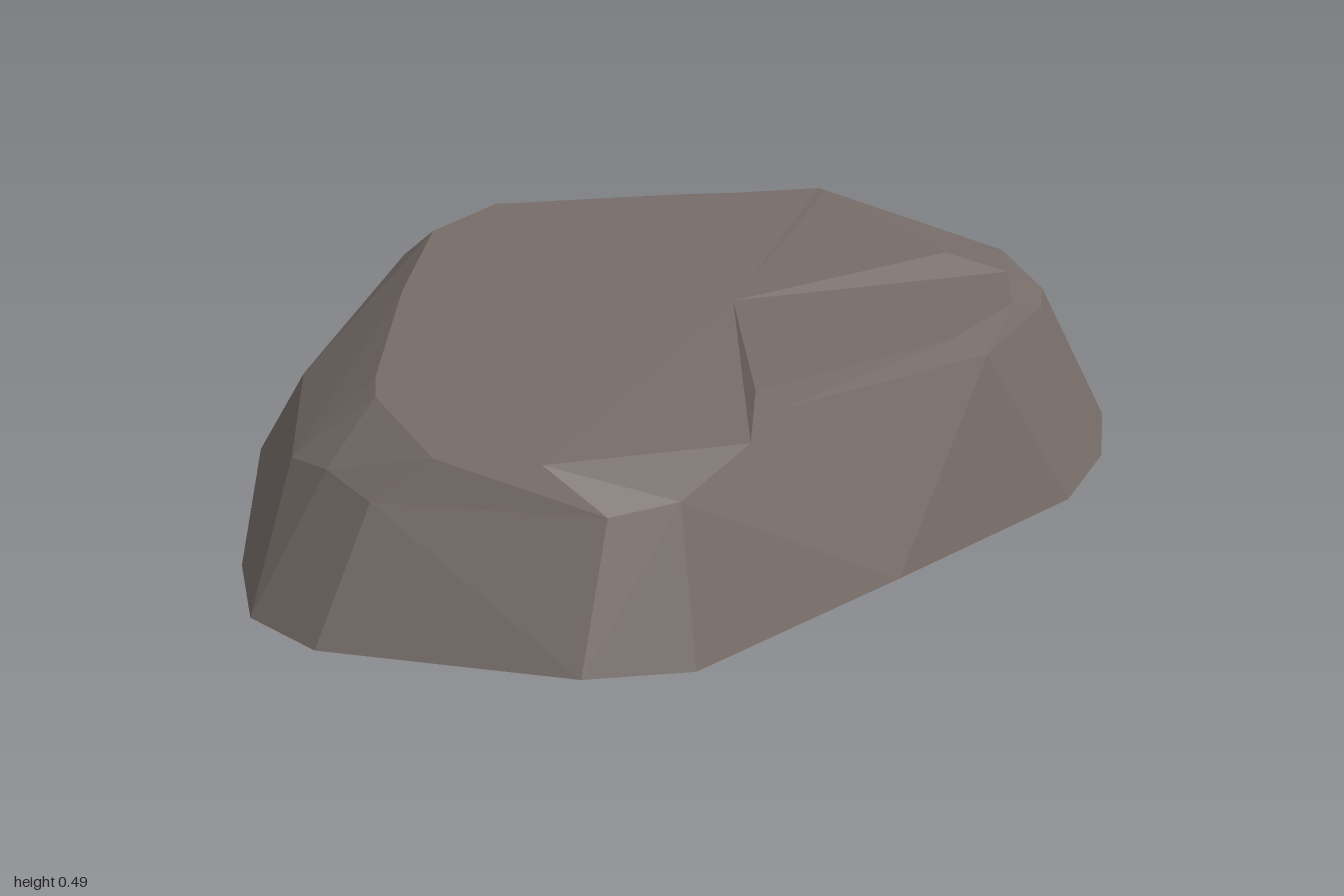
import * as THREE from 'three';

// Matching outlines, clockwise from the back as seen from above: [x, y, z]
const foot = [
  [.04, .09, -1], [.21, .065, -.97], [.33, .055, -.9], [.79, .03, -.62], [.91, .005, -.51], [.91, 0, -.28],
  [.84, 0, -.03], [.515, .015, .435], [.19, .035, .9], [0, .055, 1], [-.5, .06, 1], [-.67, .05, .89],
  [-.76, .06, .71], [-.92, .075, .21], [-.83, .08, -.28], [-.77, .08, -.53], [-.62, .08, -.76], [-.22, .085, -.99],
];
const shoulder = [
  [0, .39, -.85], [.2, .415, -.77], [.25, .45, -.7], [.65, .4, -.51], [.75, .365, -.36], [.75, .36, -.25],
  [.65, .365, .07], [.28, .385, .48], [.14, .32, .79], [.02, .31, .86], [-.42, .31, .88], [-.54, .32, .78],
  [-.65, .29, .68], [-.81, .26, .2], [-.72, .39, -.24], [-.69, .37, -.5], [-.59, .41, -.58], [-.16, .39, -.83],
];
const rim = [
  [0, .482, -.57], [.2, .485, -.64], [.22, .485, -.62], [.53, .45, -.32], [.67, .41, -.33], [.69, .4, -.15],
  [.57, .39, .07], [.22, .4, .44], [.24, .37, .62], [-.11, .385, .82], [-.31, .39, .84], [-.49, .41, .63],
  [-.52, .415, .54], [-.6, .44, .13], [-.63, .47, -.19], [-.54, .475, -.4], [-.5, .476, -.41], [-.3, .48, -.475],
];

const toPoints = (ring) => ring.map((p) => new THREE.Vector3(...p));

// Band of facets between two outlines, each quad split so that it bulges outward
function band(lower, upper) {
  const out = [];
  lower.forEach((b, i) => {
    const j = (i + 1) % lower.length;
    const a = lower[j], c = upper[i], d = upper[j];
    const normal = b.clone().sub(a).cross(c.clone().sub(a));
    if (d.clone().sub(a).dot(normal) <= 0) out.push(a, b, c, a, c, d);
    else out.push(a, b, d, b, c, d);
  });
  return out;
}

// Fan from an outline to one centre point
function cap(ring, hub, down) {
  return ring.flatMap((p, i) => {
    const q = ring[(i + 1) % ring.length];
    return down ? [p, q, hub] : [q, p, hub];
  });
}

export function createModel() {
  const group = new THREE.Group();
  group.name = 'flatRock';
  const stone = new THREE.MeshStandardMaterial({ color: 0x756b67, flatShading: true });
  stone.name = 'warmGreyStone';

  const add = (name, points) => {
    const geometry = new THREE.BufferGeometry().setFromPoints(points);
    geometry.computeVertexNormals();
    const mesh = new THREE.Mesh(geometry, stone);
    mesh.name = name;
    group.add(mesh);
  };

  const [f, s, r] = [foot, shoulder, rim].map(toPoints);
  add('rockSides', band(f, s));
  add('chippedRim', band(s, r));
  add('rockTop', cap(r, new THREE.Vector3(.1, .42, 0), false));
  add('underside', cap(f, new THREE.Vector3(0, .04, 0), true));
  return group;
}
